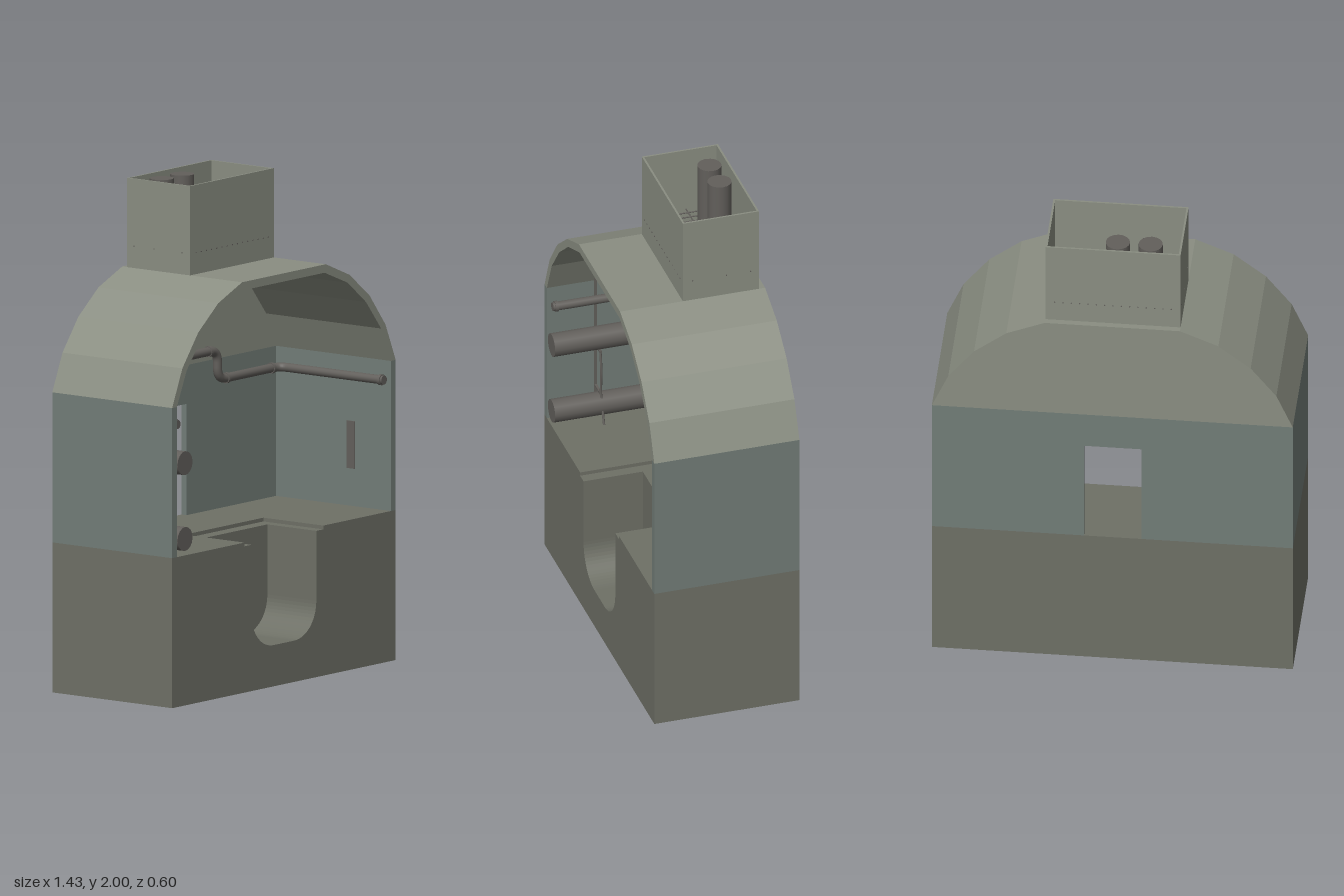
import * as THREE from 'three';

const mat = (color) => new THREE.MeshStandardMaterial({ color, side: THREE.DoubleSide });
const V = (x, y, z) => new THREE.Vector3(x, y, z);

export function createModel() {
  const model = new THREE.Group();
  const roofMat = mat(0x8a8e82), wallMat = mat(0x727d78), baseMat = mat(0x6e7066), pipeMat = mat(0x625f5b);

  const add = (name, geometry, material, parent = model) => {
    const mesh = new THREE.Mesh(geometry, material);
    mesh.name = name;
    parent.add(mesh);
    return mesh;
  };
  // box given by its limits
  const box = (name, m, x0, x1, y0, y1, z0, z1) =>
    add(name, new THREE.BoxGeometry(x1 - x0, y1 - y0, z1 - z0), m)
      .position.set((x0 + x1) / 2, (y0 + y1) / 2, (z0 + z1) / 2);
  const polygon = (pts) => new THREE.Shape(pts.map(([x, y]) => new THREE.Vector2(x, y)));
  // upright outline pushed from z0 to z1
  const slab = (name, shape, z0, z1, m) =>
    add(name, new THREE.ExtrudeGeometry(shape, { depth: z1 - z0, bevelEnabled: false, curveSegments: 8 }), m)
      .position.z = z0;
  // plan outline (drawn with y = -z) raised from y0 to y1
  const plan = (name, shape, y0, y1, m) => {
    const g = new THREE.ExtrudeGeometry(shape, { depth: y1 - y0, bevelEnabled: false });
    add(name, g.rotateX(-Math.PI / 2), m).position.y = y0;
  };

  // base block with a rounded pit open to the front
  const W = 0.715, D = 0.3;
  box('baseBack', baseMat, -W, W, 0, 0.585, -D, 0.055);
  const front = new THREE.Shape();
  front.moveTo(-W, 0);
  front.lineTo(W, 0);
  front.lineTo(W, 0.585);
  front.lineTo(0.207, 0.585);
  front.lineTo(0.207, 0.305);
  front.absarc(0.067, 0.305, 0.14, 0, -Math.PI / 2, true);
  front.lineTo(-0.067, 0.165);
  front.absarc(-0.067, 0.305, 0.14, -Math.PI / 2, -Math.PI, true);
  front.lineTo(-0.207, 0.585);
  front.lineTo(-W, 0.585);
  slab('baseFront', front, 0.055, D, baseMat);
  // floor layer with the shallow rebate around the pit
  plan('floor', polygon([[-W, -D], [-0.252, -D], [-0.252, 0], [0.252, 0], [0.252, -D], [W, -D], [W, D], [-W, D]]),
    0.585, 0.6, baseMat);

  // side walls and back wall with doorway
  for (const s of [-1, 1]) {
    const a = s * 0.685, b = s * W;
    box(s > 0 ? 'leftWall' : 'rightWall', wallMat, Math.min(a, b), Math.max(a, b), 0.6, 1.2, -0.275, D);
  }
  slab('backWall', polygon([[-W, 0.6], [-0.115, 0.6], [-0.115, 1.045], [0.112, 1.045], [0.112, 0.6],
    [W, 0.6], [W, 1.2], [-W, 1.2]]), -D, -0.275, wallMat);

  // faceted vault: two curved sides, a flat crown in front of the flue, and a gable
  const outer = [[W, 1.2], [0.65, 1.35], [0.548, 1.48], [0.42, 1.58], [0.268, 1.643]];
  const inner = [[0.685, 1.2], [0.622, 1.338], [0.525, 1.457], [0.408, 1.55], [0.26, 1.61]];
  const mirror = (pts) => pts.map(([x, y]) => [-x, y]);
  const side = [...outer, ...[...inner].reverse()];
  slab('vaultLeft', polygon(side), -0.275, D, roofMat);
  slab('vaultRight', polygon(mirror(side)), -0.275, D, roofMat);
  slab('vaultCrown', polygon([[-0.26, 1.61], [0.26, 1.61], [0.268, 1.643], [-0.268, 1.643]]), 0.04, D, roofMat);
  slab('gable', polygon([...outer, ...mirror(outer).reverse()]), -D, -0.275, roofMat);

  // open rectangular chimney
  const flue = polygon([[-0.268, -0.04], [0.268, -0.04], [0.268, 0.275], [-0.268, 0.275]]);
  flue.holes.push(polygon([[-0.26, -0.032], [-0.26, 0.267], [0.26, 0.267], [0.26, -0.032]]));
  plan('chimney', flue, 1.612, 2, roofMat);

  // grate of thin bars inside the chimney
  const grate = new THREE.Group();
  grate.name = 'chimneyGrate';
  model.add(grate);
  for (let i = -7; i <= 7; i++) {
    const bar = add('grateBar', new THREE.CylinderGeometry(0.003, 0.003, 0.318, 6).rotateX(Math.PI / 2), pipeMat, grate);
    bar.position.set(i * 0.033, 1.73, -0.117);
  }
  for (const z of [-0.24, -0.14, 0]) {
    const bar = add('grateCrossBar', new THREE.CylinderGeometry(0.003, 0.003, 0.538, 6).rotateZ(Math.PI / 2), pipeMat, grate);
    bar.position.set(0, 1.73, z);
  }

  // pipe through corner points with rounded bends and closed ends
  const pipe = (name, pts, r, bend, segments) => {
    const group = new THREE.Group();
    group.name = name;
    const path = new THREE.CurvePath();
    let from = pts[0];
    for (let i = 1; i < pts.length - 1; i++) {
      const toPrev = pts[i - 1].clone().sub(pts[i]), toNext = pts[i + 1].clone().sub(pts[i]);
      const cut = Math.min(bend, toPrev.length() * 0.48, toNext.length() * 0.48);
      const a = pts[i].clone().addScaledVector(toPrev.normalize(), cut);
      const b = pts[i].clone().addScaledVector(toNext.normalize(), cut);
      path.add(new THREE.LineCurve3(from, a));
      path.add(new THREE.QuadraticBezierCurve3(a, pts[i], b));
      from = b;
    }
    const last = pts[pts.length - 1];
    path.add(new THREE.LineCurve3(from, last));
    add(name + 'Tube', new THREE.TubeGeometry(path, segments, r, 16), pipeMat, group);
    for (const [p, q] of [[pts[0], pts[1]], [last, pts[pts.length - 2]]]) {
      const cap = add(name + 'Cap', new THREE.CircleGeometry(r, 16), pipeMat, group);
      cap.position.copy(p);
      cap.lookAt(p.clone().multiplyScalar(2).sub(q));
    }
    model.add(group);
  };

  // two large flue pipes from the front, up the back and out of the chimney
  pipe('upperFluePipe', [V(-0.63, 0.968, 0.298), V(-0.63, 0.968, -0.2), V(-0.63, 1.26, -0.2),
    V(-0.41, 1.495, -0.2), V(-0.142, 1.495, -0.2), V(-0.142, 1.99, -0.2)], 0.048, 0.08, 140);
  pipe('lowerFluePipe', [V(-0.63, 0.665, 0.298), V(-0.63, 0.665, -0.2), V(-0.49, 0.665, -0.2),
    V(-0.49, 1.19, -0.2), V(-0.33, 1.37, -0.2), V(-0.012, 1.37, -0.2), V(-0.012, 1.99, -0.2)], 0.048, 0.09, 160);

  // slim pipe around the walls, stepping up over the doorway
  pipe('wallPipe', [V(-0.66, 1.125, 0.285), V(-0.66, 1.125, -0.11), V(-0.39, 1.125, -0.11), V(-0.39, 1.125, -0.24),
    V(-0.265, 1.125, -0.24), V(-0.265, 1.245, -0.24), V(0.265, 1.245, -0.24), V(0.265, 1.125, -0.24),
    V(0.66, 1.125, -0.24), V(0.66, 1.125, 0.285)], 0.018, 0.05, 240);

  // collars on the slim pipe
  const collars = [[-0.66, 1.125, 0.27, 'z'], [0.66, 1.125, 0.27, 'z'], [-0.61, 1.125, -0.11, 'x'],
    [-0.44, 1.125, -0.11, 'x'], [-0.39, 1.125, -0.18, 'z'], [-0.32, 1.125, -0.24, 'x'], [-0.21, 1.245, -0.24, 'x'],
    [0.21, 1.245, -0.24, 'x'], [0.32, 1.125, -0.24, 'x'], [0.61, 1.125, -0.24, 'x']];
  for (const [x, y, z, axis] of collars) {
    const g = new THREE.CylinderGeometry(0.022, 0.022, 0.012, 16);
    if (axis === 'x') g.rotateZ(Math.PI / 2);
    else g.rotateX(Math.PI / 2);
    add('pipeCollar', g, pipeMat).position.set(x, y, z);
  }

  // bowed guard on the right wall: post, two brackets and strap
  box('guardPost', pipeMat, -0.685, -0.679, 0.68, 1.24, 0.094, 0.106);
  for (const y of [0.72, 0.91]) box('guardBracket', pipeMat, -0.685, -0.612, y - 0.004, y + 0.004, 0.095, 0.105);
  const strap = new THREE.CatmullRomCurve3([V(-0.618, 0.915, 0.1), V(-0.605, 0.82, 0.1), V(-0.61, 0.72, 0.1),
    V(-0.59, 0.66, 0.1), V(-0.57, 0.6, 0.1)]);
  add('guardStrap', new THREE.TubeGeometry(strap, 20, 0.005, 6), pipeMat);
  // thin plate on the left wall
  box('wallPlate', pipeMat, 0.68, 0.685, 0.75, 0.94, 0.08, 0.12);

  return model;
}
